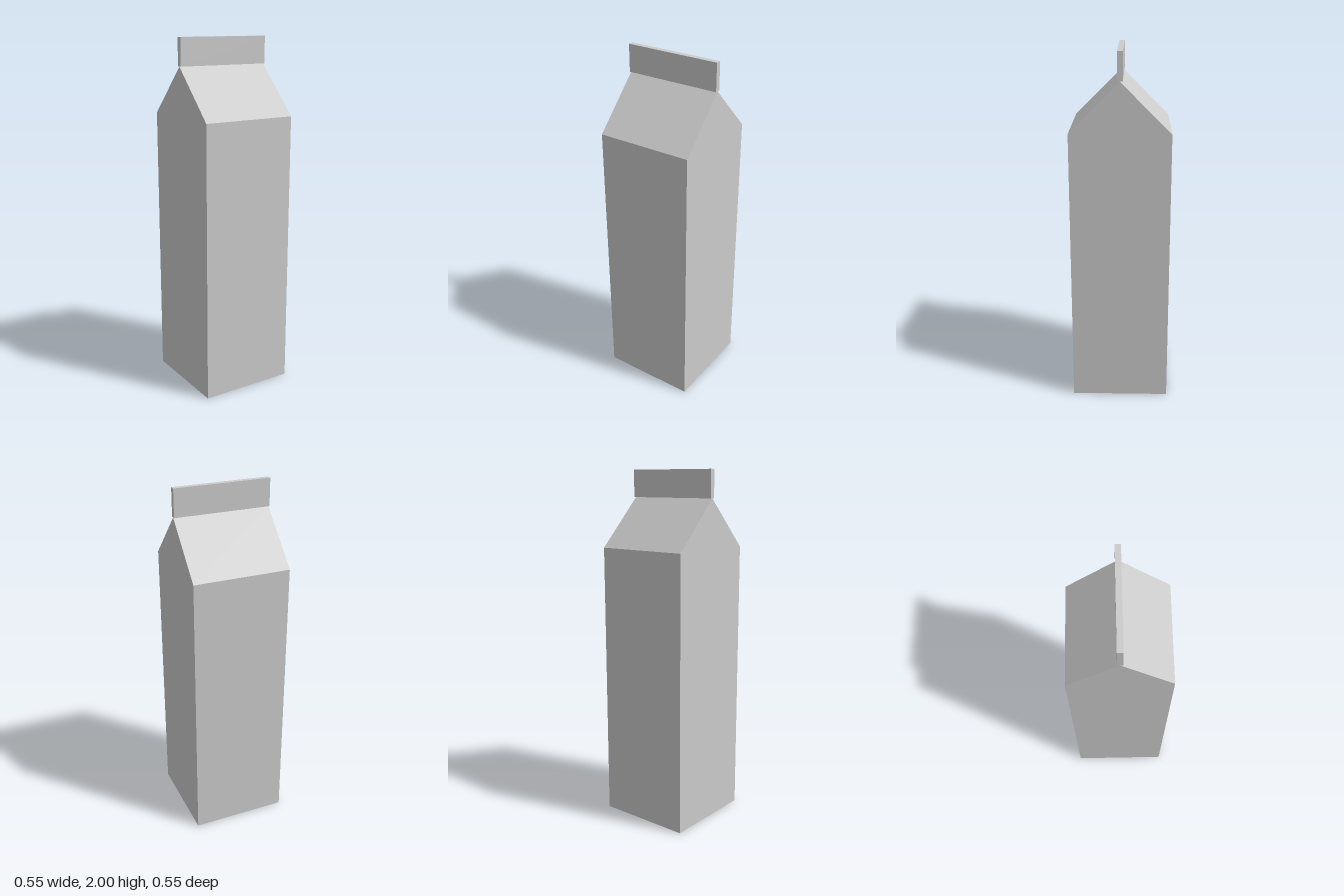
import * as THREE from 'three';

const HALF = 0.274;   // half width and half depth
const EAVE = 1.572;   // top of the straight walls
const RIDGE = 1.846;  // where the roof panels meet
const TOP = 2;
const SEAL = 0.03;    // thickness of the sealed fin

export function createModel() {
  const group = new THREE.Group();
  group.name = 'carton';
  const material = new THREE.MeshStandardMaterial({ color: 0xcccccc, flatShading: true });

  // Body and gable roof: one pentagon profile swept across the width
  const profile = new THREE.Shape([
    [-HALF, 0], [HALF, 0], [HALF, EAVE], [0, RIDGE], [-HALF, EAVE],
  ].map(([z, y]) => new THREE.Vector2(z, y)));
  const bodyGeometry = new THREE.ExtrudeGeometry(profile, { depth: 2 * HALF, bevelEnabled: false });
  bodyGeometry.translate(0, 0, -HALF).rotateY(Math.PI / 2);
  const body = new THREE.Mesh(bodyGeometry, material);
  body.name = 'body';
  group.add(body);

  // Upright sealed fin along the ridge
  const fin = new THREE.Mesh(new THREE.BoxGeometry(2 * HALF, TOP - RIDGE, SEAL), material);
  fin.name = 'topSeal';
  fin.position.y = (TOP + RIDGE) / 2;
  group.add(fin);

  return group;
}
